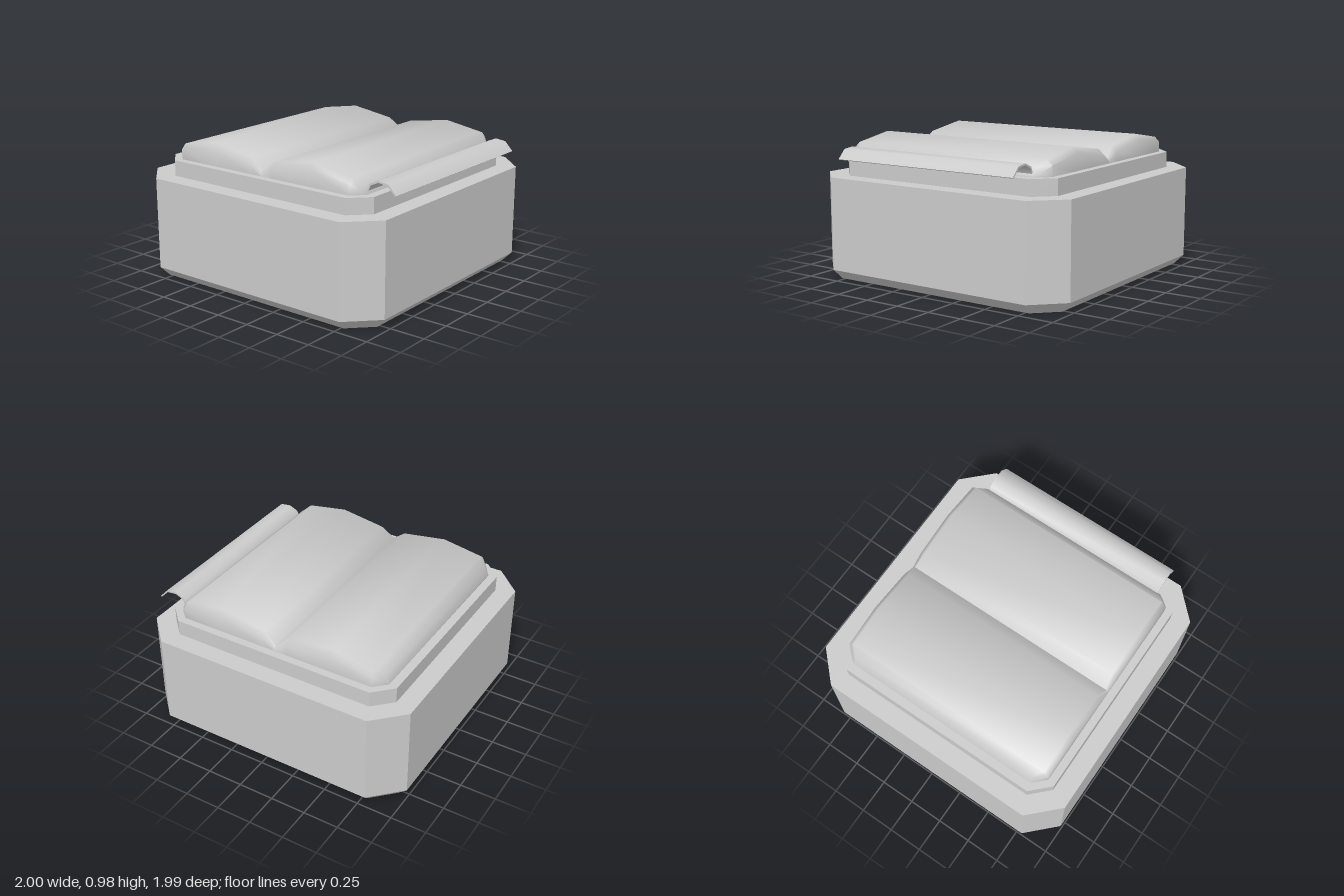
import * as THREE from 'three';
import { toCreasedNormals } from 'three/addons/utils/BufferGeometryUtils.js';

const CX = -0.008; // block centre; the side flap shifts it slightly off x = 0

// Closed solid through equal-length rings, each counter-clockwise seen from the end of the loft
function loft(rings) {
  const n = rings[0].length, index = [];
  for (let i = 0; i < rings.length - 1; i++) {
    for (let j = 0; j < n; j++) {
      const a = i * n + j, b = i * n + (j + 1) % n;
      index.push(a, b, b + n, a, b + n, a + n);
    }
  }
  const last = (rings.length - 1) * n;
  for (let j = 1; j < n - 1; j++) {
    index.push(0, j + 1, j, last, last + j, last + j + 1);
  }
  const geo = new THREE.BufferGeometry();
  geo.setAttribute('position', new THREE.Float32BufferAttribute(rings.flat(2), 3));
  geo.setIndex(index);
  return geo;
}

// Square ring with cut corners at height y: half width h, corner cut c
function octagon(y, h, c) {
  const k = h - c;
  return [[h, k], [k, h], [-k, h], [-h, k], [-h, -k], [-k, -h], [k, -h], [h, -k]]
    .map(([x, z]) => [CX + x, y, -z]);
}

export function createModel() {
  const group = new THREE.Group();
  const flat = new THREE.MeshStandardMaterial({ color: 0xcccccc, flatShading: true });
  const smooth = new THREE.MeshStandardMaterial({ color: 0xcccccc });
  const add = (name, geo, mat) => {
    const mesh = new THREE.Mesh(geo, mat);
    mesh.name = name;
    group.add(mesh);
  };

  // Main block with bevelled foot
  add('base', loft([octagon(0, 0.925, 0.15), octagon(0.07, 0.993, 0.2), octagon(0.715, 0.993, 0.2)]), flat);

  // Raised step
  add('step', loft([octagon(0.7, 0.863, 0.125), octagon(0.825, 0.863, 0.125)]), flat);

  // Two-humped cushion: columns of [x, top height, half depth], with softened front and back edges
  const half = [
    [0.803, 0.835, 0.725], [0.775, 0.885, 0.757], [0.72, 0.93, 0.81],
    [0.42, 0.98, 0.81], [0.095, 0.93, 0.81],
  ];
  const columns = [
    ...half.map(([x, y, d]) => [-x, y, d]), [0, 0.855, 0.81], ...half.slice().reverse(),
  ];
  const cushion = loft(columns.map(([x, top, d]) => {
    const b = Math.min(0.035, (top - 0.825) * 0.6);
    const side = [[0.82, d], [top - b, d], [top, d - b]];
    return [
      ...side.map(([y, z]) => [CX + x, y, -z]),
      ...side.reverse().map(([y, z]) => [CX + x, y, z]),
    ];
  }));
  add('cushion', toCreasedNormals(cushion, 0.95), smooth);

  // Thin curled flap along the left side
  const curl = [[0.775, 0.845], [0.797, 0.892], [0.86, 0.92], [0.937, 0.911], [0.997, 0.848]];
  const under = [[0.989, 0.843], [0.931, 0.9], [0.861, 0.908], [0.806, 0.883], [0.787, 0.843]];
  const outline = new THREE.Shape([...curl, ...under].map(([x, y]) => new THREE.Vector2(x, y)));
  const flap = new THREE.ExtrudeGeometry(outline, { depth: 1.416, bevelEnabled: false });
  flap.translate(0, 0, -0.71);
  add('sideFlap', toCreasedNormals(flap, 0.8), smooth);

  return group;
}
